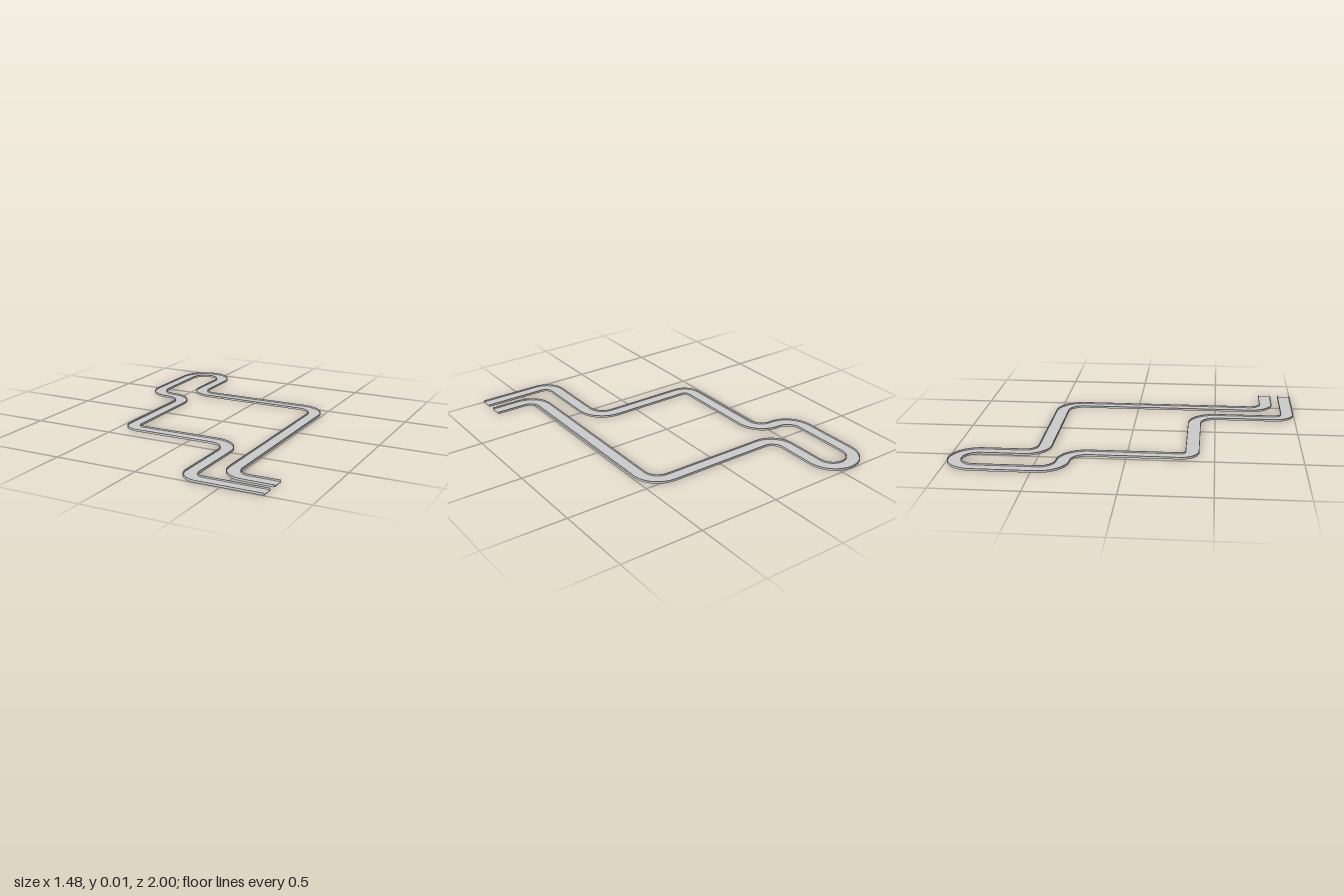
import * as THREE from 'three';

// Shallow U-shaped channel section: [offset across the path, height]
const W = 0.04, H = 0.013, T = 0.004;
const section = [
  [-W, 0], [W, 0], [W, H], [W - T, H], [W - T, T], [-W + T, T], [-W + T, H], [-W, H],
].map(([s, y]) => new THREE.Vector2(s, y));

// Route on the ground as right-angle corners: [x, z, bend radius]
const route = [
  [0.742, 0.83, 0], [0.45, 0.83, 0.11], [0.45, -0.485, 0.13], [-0.45, -0.485, 0.11],
  [-0.45, -0.96, 0.126], [-0.702, -0.96, 0.126], [-0.702, -0.348, 0.127],
  [-0.435, -0.348, 0.13], [-0.435, 0.372, 0.07], [0.273, 0.372, 0.137],
  [0.273, 0.958, 0.087], [0.742, 0.958, 0],
];

// Rounds every corner and returns stations with position and unit direction
function roundedPath(points, steps = 14) {
  const p = points.map(([x, z]) => new THREE.Vector2(x, z));
  const dir = (i) => p[i + 1].clone().sub(p[i]).normalize();
  const last = p.length - 1;
  const out = [{ pos: p[0], d: dir(0) }];
  for (let i = 1; i < last; i++) {
    const r = points[i][2], a = dir(i - 1), b = dir(i);
    const centre = p[i].clone().addScaledVector(a, -r).addScaledVector(b, r);
    for (let k = 0; k <= steps; k++) {
      const t = (k / steps) * Math.PI / 2, c = Math.cos(t), s = Math.sin(t);
      out.push({
        pos: centre.clone().addScaledVector(b, -r * c).addScaledVector(a, r * s),
        d: a.clone().multiplyScalar(c).addScaledVector(b, s),
      });
    }
  }
  out.push({ pos: p[last], d: dir(last - 1) });
  return out;
}

// Sweeps the section; each side has its own vertices so long edges stay sharp
function sweep(profile, path) {
  const pos = [], idx = [];
  const put = (st, q) => {
    pos.push(st.pos.x - st.d.y * q.x, q.y, st.pos.y + st.d.x * q.x);
    return pos.length / 3 - 1;
  };
  profile.forEach((a, j) => {
    const b = profile[(j + 1) % profile.length];
    path.forEach((st, i) => {
      const v = put(st, a);
      put(st, b);
      if (i > 0) idx.push(v - 2, v, v - 1, v - 1, v, v + 1);
    });
  });
  // End caps
  const faces = THREE.ShapeUtils.triangulateShape(profile, []);
  [path[0], path[path.length - 1]].forEach((st, end) => {
    const base = pos.length / 3;
    profile.forEach((q) => put(st, q));
    faces.forEach(([a, b, c]) => idx.push(base + a, base + (end ? c : b), base + (end ? b : c)));
  });
  const g = new THREE.BufferGeometry();
  g.setAttribute('position', new THREE.Float32BufferAttribute(pos, 3));
  g.setIndex(idx);
  g.computeVertexNormals();
  return g;
}

export function createModel() {
  const group = new THREE.Group();
  group.name = 'bentChannel';
  const channel = new THREE.Mesh(
    sweep(section, roundedPath(route)),
    new THREE.MeshStandardMaterial({ color: 0xcccccc }),
  );
  channel.name = 'channelTrack';
  group.add(channel);
  return group;
}
